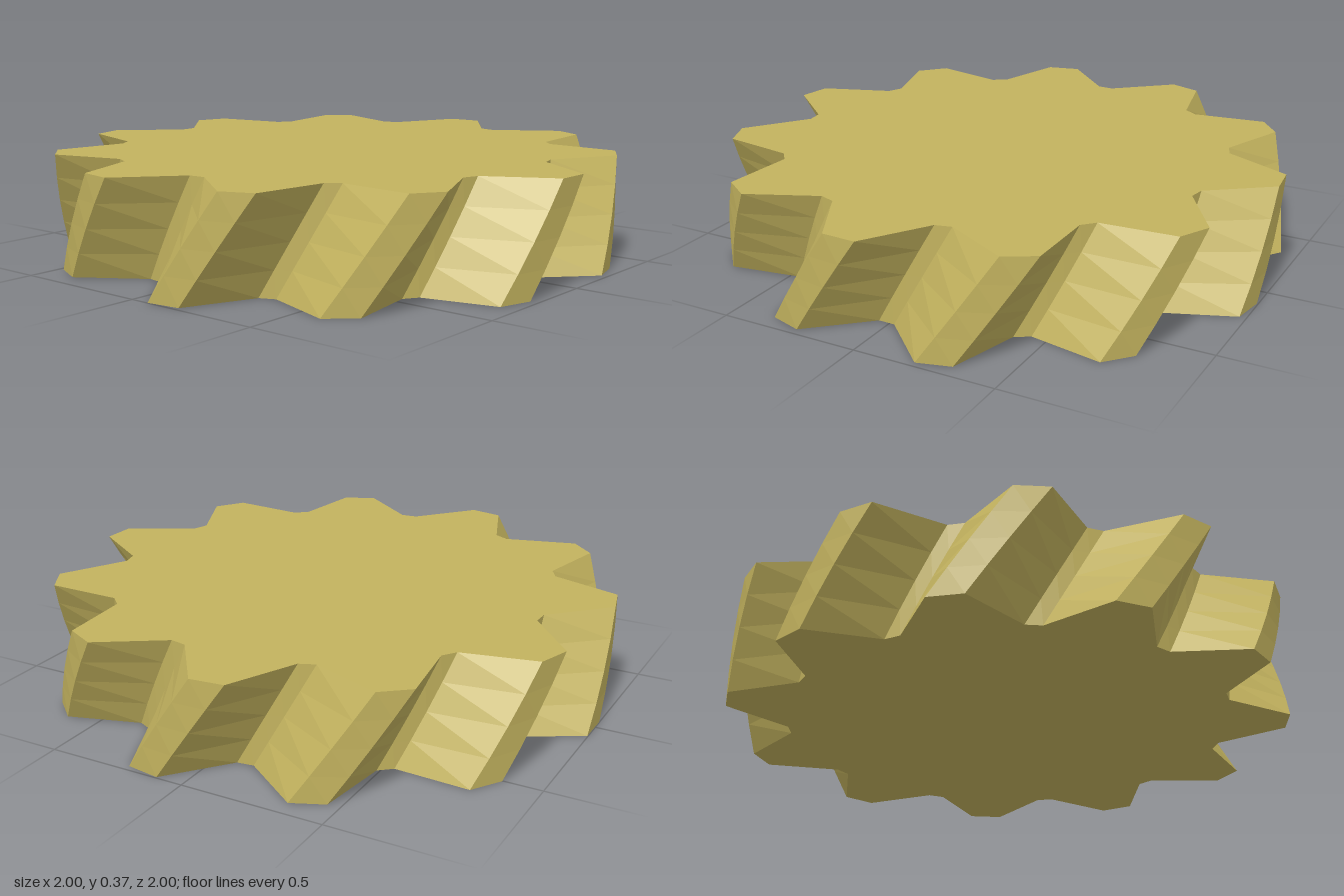
import * as THREE from 'three';

const TEETH = 11;
const HEIGHT = 0.37;
const TIP_R = 1.0;
const ROOT_R = 0.795;
const TWIST = THREE.MathUtils.degToRad(15);
const rad = THREE.MathUtils.degToRad;

// Toothed outline; angles run from +z towards +x
function gearOutline() {
  const points = [];
  const add = (r, deg) => points.push(new THREE.Vector2(r * Math.sin(rad(deg)), -r * Math.cos(rad(deg))));
  const pitch = 360 / TEETH;
  for (let i = 0; i < TEETH; i++) {
    const tip = -2.2 + i * pitch;
    const root = tip + pitch / 2;
    add(TIP_R, tip - 3.45);
    add(TIP_R, tip + 3.45);
    add(ROOT_R, root - 2.1);
    add(ROOT_R, root + 2.1);
  }
  return new THREE.Shape(points);
}

export function createModel() {
  const brass = new THREE.MeshStandardMaterial({ color: 0xc2b25e });
  brass.name = 'brass';
  brass.flatShading = true;

  // Extrude upwards, then turn each level about y to slant the teeth
  const geometry = new THREE.ExtrudeGeometry(gearOutline(), { depth: HEIGHT, steps: 4, bevelEnabled: false });
  geometry.rotateX(-Math.PI / 2);
  const position = geometry.attributes.position;
  const v = new THREE.Vector3();
  const up = new THREE.Vector3(0, 1, 0);
  for (let i = 0; i < position.count; i++) {
    v.fromBufferAttribute(position, i);
    v.applyAxisAngle(up, -TWIST * (1 - v.y / HEIGHT));
    position.setXYZ(i, v.x, v.y, v.z);
  }
  geometry.computeVertexNormals();

  const gear = new THREE.Mesh(geometry, brass);
  gear.name = 'helicalGear';
  const group = new THREE.Group();
  group.name = 'gear';
  group.add(gear);
  return group;
}
